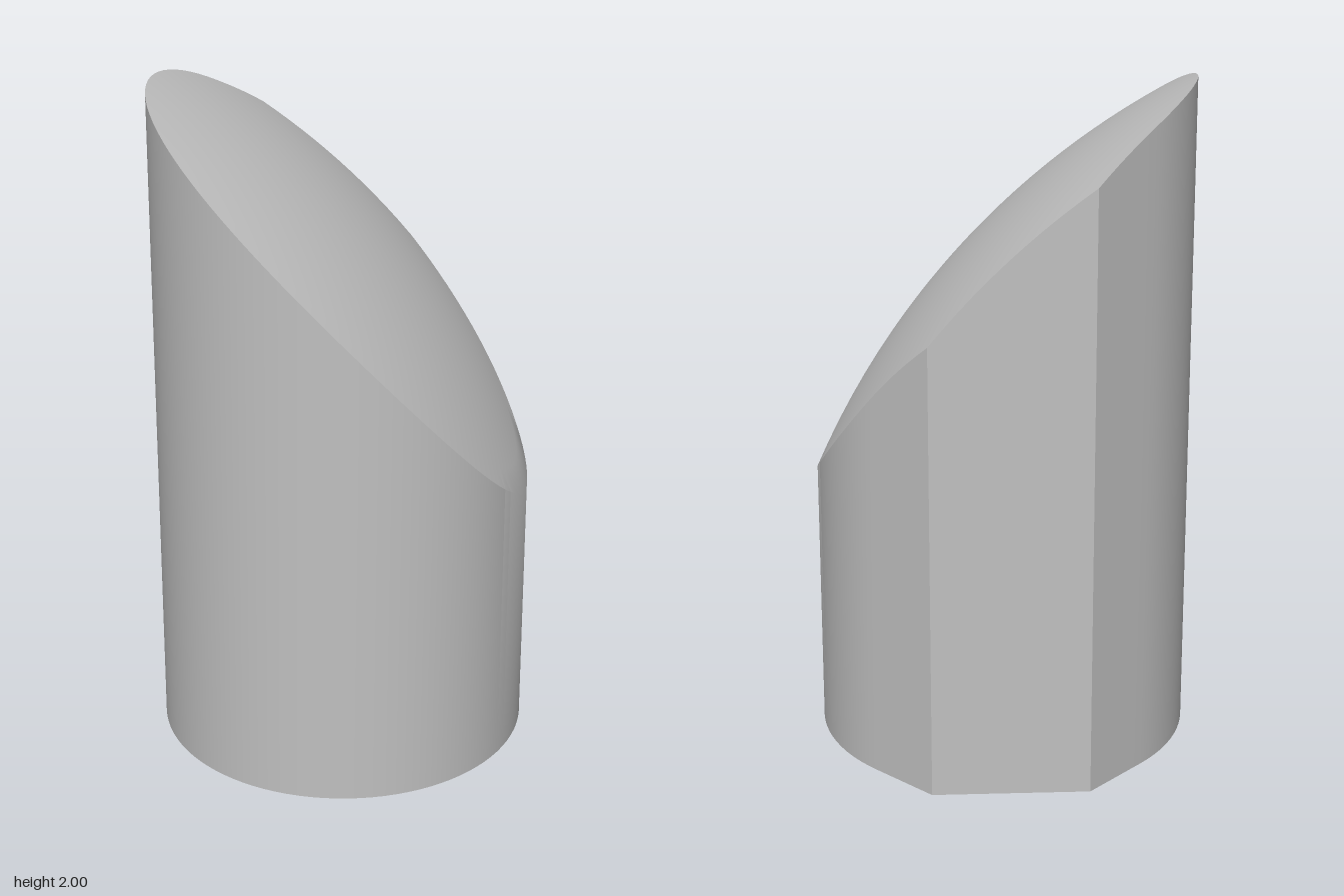
import * as THREE from 'three';
import { toCreasedNormals } from 'three/addons/utils/BufferGeometryUtils.js';

const R = 0.555;          // column radius
const SEGMENTS = 96;      // divides evenly at the corners of the flats
const TOP_RINGS = 16;

// Round outline with three tangent flats at the back, making two corners.
function outlineRadius(angle) {
  const a = Math.abs(angle);
  const start = Math.PI * 0.75;
  return a <= start ? R : R / Math.cos(Math.min(a - start, Math.PI - a));
}

// The slanted top is part of a large sphere, turned ten degrees about y.
const TILT = THREE.MathUtils.degToRad(10);
const B = 1.63, CENTRE_Y = -0.11, SPHERE_SQ = 5.605;
function topHeight(x, z) {
  const dx = x + B * Math.cos(TILT);
  const dz = z + B * Math.sin(TILT);
  return CENTRE_Y + Math.sqrt(SPHERE_SQ - dx * dx - dz * dz);
}

// One closed loop of the outline, scaled, either on the ground or on the top.
function loop(scale, onTop) {
  const points = [];
  for (let i = 0; i <= SEGMENTS; i++) {
    const angle = -Math.PI + (i % SEGMENTS) * 2 * Math.PI / SEGMENTS;
    const r = outlineRadius(angle) * scale;
    const x = r * Math.sin(angle), z = r * Math.cos(angle);
    points.push([x, onTop ? topHeight(x, z) : 0, z]);
  }
  return points;
}

export function createModel() {
  // Base centre, base rim, top rim, then inward over the domed cut.
  const loops = [loop(0, false), loop(1, false)];
  for (let k = TOP_RINGS; k >= 0; k--) loops.push(loop(k / TOP_RINGS, true));

  const positions = [];
  const last = loops.length - 1;
  for (let j = 0; j < last; j++) {
    const a = loops[j], b = loops[j + 1];
    for (let i = 0; i < SEGMENTS; i++) {
      if (j > 0) positions.push(...a[i], ...a[i + 1], ...b[i + 1]);
      if (j < last - 1) positions.push(...a[i], ...b[i + 1], ...b[i]);
    }
  }

  const geometry = new THREE.BufferGeometry();
  geometry.setAttribute('position', new THREE.Float32BufferAttribute(positions, 3));

  const grey = new THREE.MeshStandardMaterial({ color: 0xc0c0c0 });
  grey.name = 'light grey';

  const column = new THREE.Mesh(toCreasedNormals(geometry, Math.PI / 6), grey);
  column.name = 'slantedColumn';

  const group = new THREE.Group();
  group.name = 'slantCutColumn';
  group.add(column);
  return group;
}
